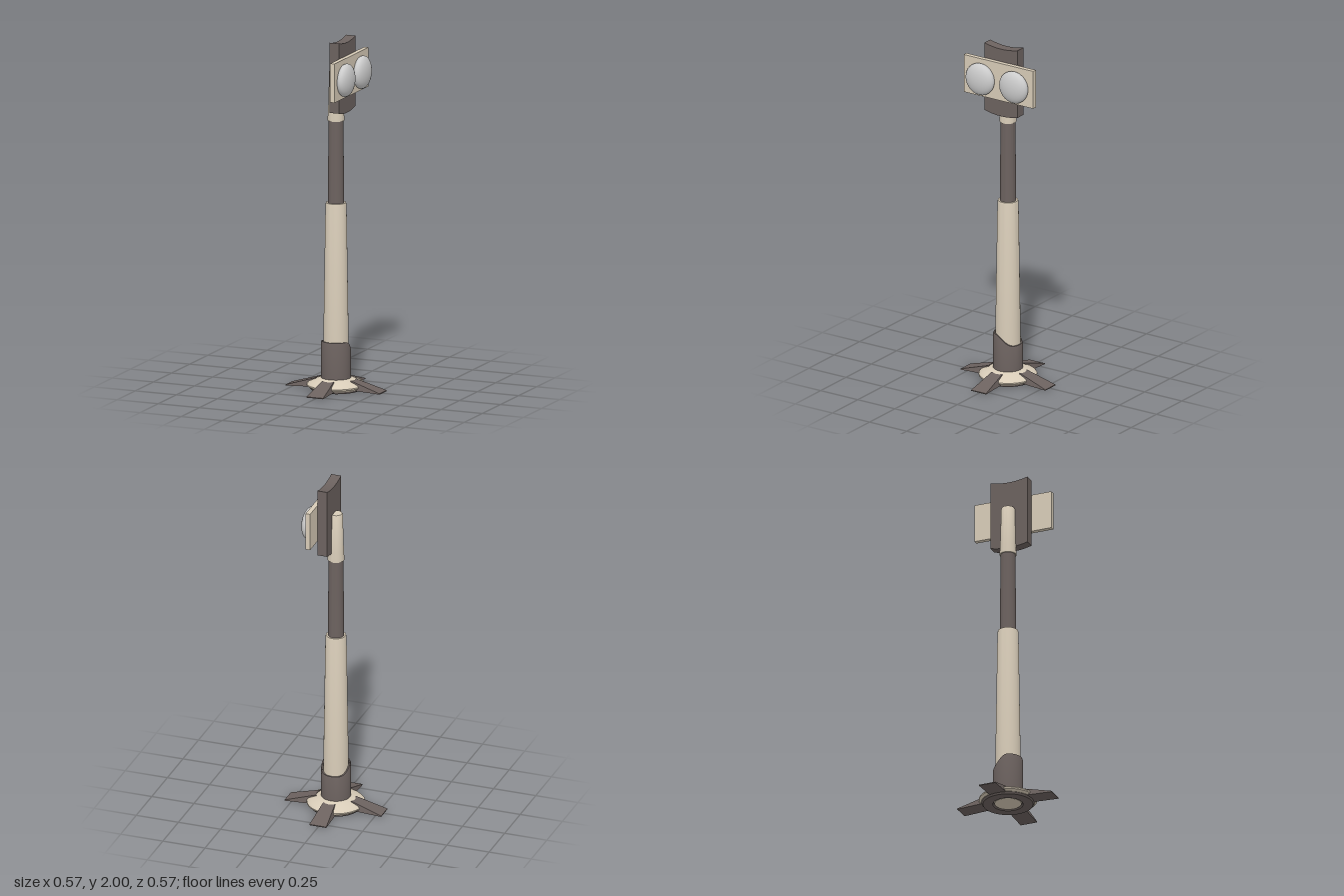
import * as THREE from 'three';
import { toCreasedNormals } from 'three/addons/utils/BufferGeometryUtils.js';

const material = (color) => new THREE.MeshStandardMaterial({ color, side: THREE.DoubleSide });
const beige = material(0xd8ccb8);
const dark = material(0x6c625f);
const grey = material(0xcccccc);

// Moves every vertex of a geometry by a rule, then sharpens its edges
function shaped(geometry, rule = () => {}) {
  const pos = geometry.attributes.position;
  const v = new THREE.Vector3();
  for (let i = 0; i < pos.count; i++) {
    v.fromBufferAttribute(pos, i);
    rule(v);
    pos.setXYZ(i, v.x, v.y, v.z);
  }
  return toCreasedNormals(geometry, 0.6);
}

const lathe = (points) =>
  new THREE.LatheGeometry(points.map(([r, y]) => new THREE.Vector2(r, y)), 40);

export function createModel() {
  const model = new THREE.Group();
  function add(name, geometry, mat, parent = model) {
    const mesh = new THREE.Mesh(geometry, mat);
    mesh.name = name;
    parent.add(mesh);
    return mesh;
  }

  // Base: domed disc with a dark ring and a shallow hub underneath
  add('baseDome', shaped(lathe([
    [0.12, 0.016], [0.15, 0.016], [0.163, 0.027], [0.163, 0.034], [0.155, 0.043],
    [0.14, 0.05], [0.12, 0.058], [0.1, 0.066], [0.08, 0.072], [0, 0.072],
  ])), beige);
  add('baseRing', shaped(lathe([
    [0.078, 0.02], [0.085, 0.004], [0.14, 0.004], [0.148, 0.018], [0.078, 0.02],
  ])), dark);
  add('baseHub', shaped(lathe([[0, 0.014], [0.055, 0.004], [0.075, 0.008], [0.08, 0.02]])), beige);

  // Four sloping feet, tapering towards the centre at the top
  const footGeometry = shaped(new THREE.BoxGeometry(1, 1, 1, 4, 1, 1), (v) => {
    const t = v.z + 0.5;
    const side = v.x * 2;
    const top = v.y > 0;
    const inner = 0.114 - 0.01 * side * side;
    const r = THREE.MathUtils.lerp(inner, 0.287, t);
    const half = top ? THREE.MathUtils.lerp(0.035, 0.05, t) : 0.05;
    const y = top ? 0.012 + (0.287 - r) * 0.3 : THREE.MathUtils.lerp(0.016, 0.007, t);
    v.set(side * half - 0.002, y, r);
  });
  for (let i = 0; i < 4; i++) {
    add('foot' + (i + 1), footGeometry, dark).rotation.y = i * Math.PI / 2;
  }

  // Sleeve whose rim sweeps down towards the back
  add('sleeve', shaped(lathe([
    [0.083, 0.065], [0.083, 0.27], [0.08, 0.28], [0.073, 0.28], [0.07, 0.2],
  ]), (v) => {
    if (v.y > 0.25) v.y -= 0.06 * THREE.MathUtils.smoothstep(-v.z, -0.03, 0.07);
  }), dark);

  // Tapering pole in three sections
  add('lowerPole', shaped(lathe([
    [0, 0.07], [0.073, 0.07], [0.071, 0.25], [0.059, 1.055], [0.056, 1.067], [0.04, 1.067], [0, 1.067],
  ])), beige);
  add('upperPole', shaped(lathe([[0.046, 1.06], [0.041, 1.54], [0, 1.54]])), dark);
  add('polePost', shaped(lathe([
    [0, 1.535], [0.047, 1.535], [0.047, 1.545], [0.044, 1.59], [0.038, 1.815], [0.034, 1.822], [0, 1.822],
  ])), beige);

  // Lamp head: bowed back panel, crossing plate and two lenses, facing +x
  const head = new THREE.Group();
  head.name = 'lampHead';
  model.add(head);
  add('backPanel', shaped(new THREE.BoxGeometry(0.058, 0.4, 0.224, 1, 1, 12), (v) => {
    v.x += 0.04;
    v.y += 1.785 + 0.015 * (v.z / 0.112) ** 2;
  }), dark, head);
  add('lampPlate', new THREE.BoxGeometry(0.027, 0.222, 0.467), beige, head)
    .position.set(0.081, 1.8, 0);
  for (const [name, z] of [['frontLens', 0.113], ['backLens', -0.113]]) {
    const lens = add(name, new THREE.SphereGeometry(0.093, 36, 24), grey, head);
    lens.scale.x = 0.45;
    lens.position.set(0.11, 1.795, z);
  }
  return model;
}
